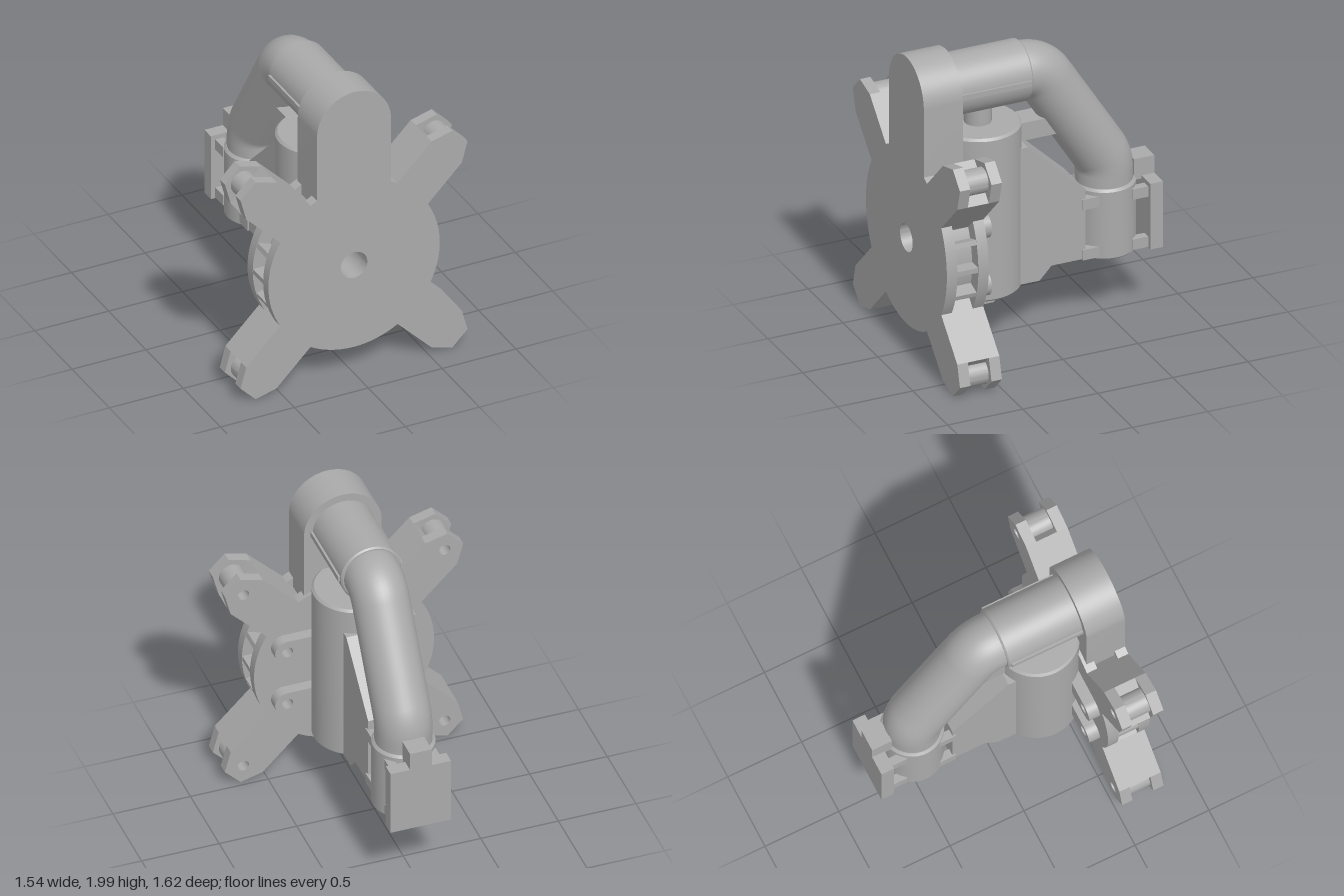
import * as THREE from 'three';
import { toCreasedNormals } from 'three/addons/utils/BufferGeometryUtils.js';

const CY = 0.775;           // height of the disc centre
const ARM_W = 0.145;        // half width of an arm
const ARM_IN = 0.887;       // where the arm tips start to taper
const PIN = 0.917;          // distance of the arm pins from the centre

export function createModel() {
  const model = new THREE.Group();
  const grey = new THREE.MeshStandardMaterial({ color: 0xaaaaaa });
  grey.name = 'grey';

  function add(name, geometry, x = 0, y = 0, z = 0) {
    const mesh = new THREE.Mesh(geometry, grey);
    mesh.name = name;
    mesh.position.set(x, y, z);
    model.add(mesh);
    return mesh;
  }
  const box = (name, x0, x1, y0, y1, z0, z1) =>
    add(name, new THREE.BoxGeometry(x1 - x0, y1 - y0, z1 - z0), (x0 + x1) / 2, (y0 + y1) / 2, (z0 + z1) / 2);
  const extrude = (shape, depth) =>
    toCreasedNormals(new THREE.ExtrudeGeometry(shape, { depth, bevelEnabled: false, curveSegments: 32 }), 0.5);
  const polygon = (pts) => new THREE.Shape(pts.map((p) => new THREE.Vector2(p[0], p[1])));
  const hole = (x, y, r) => new THREE.Path().absarc(x, y, r, 0, Math.PI * 2, true);
  const lathe = (pts) =>
    toCreasedNormals(new THREE.LatheGeometry(pts.map((p) => new THREE.Vector2(p[0], p[1])), 56), 0.5);
  // Prism from a side profile of [z, y] points, centred on x = 0
  function sideProfile(name, pts, halfWidth) {
    const mesh = add(name, extrude(polygon(pts), halfWidth * 2), halfWidth);
    mesh.rotation.y = -Math.PI / 2;
  }

  // Disc outline with four diagonal arms
  function discShape(radius, tips) {
    const pts = [];
    const half = Math.asin(ARM_W / radius);
    for (let i = 0; i < 4; i++) {
      const a = Math.PI / 4 + (i * Math.PI) / 2;
      const put = (along, across) => pts.push([
        along * Math.cos(a) - across * Math.sin(a),
        along * Math.sin(a) + across * Math.cos(a)]);
      put(ARM_IN, -ARM_W);
      if (tips) { put(1.014, -0.072); put(1.014, 0.072); }
      put(ARM_IN, ARM_W);
      const sweep = Math.PI / 2 - 2 * half;
      for (let k = 0; k <= 16; k++) {
        const b = a + half + (sweep * k) / 16;
        pts.push([radius * Math.cos(b), radius * Math.sin(b)]);
      }
    }
    const shape = polygon(pts);
    shape.holes.push(hole(0, 0, 0.09));
    return shape;
  }

  // Front plate, recessed core and back plate
  const backShape = discShape(0.58, true);
  for (let i = 0; i < 4; i++) {
    const a = Math.PI / 4 + (i * Math.PI) / 2;
    const x = PIN * Math.cos(a), y = PIN * Math.sin(a);
    backShape.holes.push(hole(x, y, 0.036));
    // Pin sleeve between the plates at each arm tip
    const ring = new THREE.Shape().absarc(0, 0, 0.08, 0, Math.PI * 2, false);
    ring.holes.push(hole(0, 0, 0.036));
    add('armPin', extrude(ring, 0.14), x, CY + y, 0.6);
  }
  add('frontPlate', extrude(discShape(0.58, true), 0.07), 0, CY, 0.74);
  add('discCore', extrude(discShape(0.49, false), 0.14), 0, CY, 0.6);
  add('backPlate', extrude(backShape, 0.07), 0, CY, 0.53);

  // Ribs dividing the rim windows on the left, right and bottom
  for (const base of [0, Math.PI, -Math.PI / 2]) {
    for (const off of [-0.31, 0, 0.31]) {
      const a = base + off;
      const rib = add('rimRib', new THREE.BoxGeometry(0.11, 0.032, 0.14),
        0.523 * Math.cos(a), CY + 0.523 * Math.sin(a), 0.67);
      rib.rotation.z = a;
    }
  }

  // Round-topped head above the disc
  const head = new THREE.Shape();
  head.moveTo(-0.25, 1.2);
  head.lineTo(0.25, 1.2);
  head.lineTo(0.25, 1.75);
  head.absarc(0, 1.75, 0.25, 0, Math.PI, false);
  head.closePath();
  add('head', extrude(head, 0.26), 0, 0, 0.55);

  // Horizontal sleeve with side ridges
  const sleeve = add('sleeve', lathe([[0, 0], [0.185, 0], [0.195, 0.01], [0.195, 0.51], [0, 0.51]]), 0, 1.755, 0.05);
  sleeve.rotation.x = Math.PI / 2;
  for (const s of [-1, 1]) {
    add('sleeveRidge', new THREE.BoxGeometry(0.04, 0.035, 0.48), s * 0.188, 1.755, 0.31);
  }

  // Bent pipe
  const V = (y, z) => new THREE.Vector3(0, y, z);
  const top = V(1.755, -0.057), low = V(1.047, -0.505);
  const dir = low.clone().sub(top).normalize();
  const p1 = V(1.755, 0.05), p2 = top.clone().addScaledVector(dir, 0.107);
  const p3 = low.clone().addScaledVector(dir, -0.07), p4 = V(0.977, -0.505);
  const path = new THREE.CurvePath();
  path.add(new THREE.LineCurve3(V(1.755, 0.1), p1));
  path.add(new THREE.QuadraticBezierCurve3(p1, top, p2));
  path.add(new THREE.LineCurve3(p2, p3));
  path.add(new THREE.QuadraticBezierCurve3(p3, low, p4));
  path.add(new THREE.LineCurve3(p4, V(0.88, -0.505)));
  add('pipe', new THREE.TubeGeometry(path, 64, 0.177, 40, false));

  // Upright body, its neck and foot
  add('body', lathe([[0, 0.365], [0.25, 0.365], [0.265, 0.38], [0.265, 1.455], [0.25, 1.47], [0, 1.47]]), 0, 0, 0.335);
  add('neck', new THREE.CylinderGeometry(0.085, 0.085, 0.16, 32), 0, 1.52, 0.335);
  sideProfile('foot', [[0.54, 0.275], [0.54, 0.4], [0.16, 0.4], [0.19, 0.365], [0.28, 0.275]], 0.11);

  // Gusset and bar behind the body
  sideProfile('gusset', [[0.3, 1.3], [0.1, 1.3], [0.07, 1.3], [-0.31, 0.935], [-0.31, 0.465],
    [-0.085, 0.465], [-0.005, 0.38], [0.3, 0.38]], 0.155);
  box('bar', -0.08, 0.08, 1.31, 1.43, -0.18, 0.12);

  // Lugs with holes, beside the body
  for (const s of [-1, 1]) {
    for (const y of [0.97, 0.58]) {
      const lug = new THREE.Shape();
      lug.moveTo(-0.25, -0.08);
      lug.lineTo(0, -0.08);
      lug.absarc(0, 0, 0.08, -Math.PI / 2, Math.PI / 2, false);
      lug.lineTo(-0.25, 0.08);
      lug.closePath();
      lug.holes.push(hole(0, 0, 0.036));
      const mesh = add('lug', extrude(lug, 0.075), s * 0.39, y, s > 0 ? 0.458 : 0.533);
      if (s < 0) mesh.rotation.y = Math.PI;
    }
  }

  // Hollow collar at the pipe's lower end
  add('collar', lathe([[0, 0.86], [0.145, 0.86], [0.145, 0.44], [0.185, 0.44], [0.195, 0.45],
    [0.195, 0.895], [0.18, 0.91], [0, 0.91]]), 0, 0, -0.505);

  // Clamp: jaws on both sides of the collar, back block and tab
  for (const s of [-1, 1]) {
    for (const y of [0.46, 0.8]) {
      const x0 = s > 0 ? 0.11 : -0.165;
      box('rearJaw', x0, x0 + 0.055, y, y + 0.07, -0.74, -0.62);
      box('frontJaw', x0, x0 + 0.055, y, y + 0.07, -0.41, -0.29);
    }
  }
  box('clampBlock', -0.195, 0.195, 0.455, 0.9, -0.81, -0.725);
  box('clampTab', -0.07, 0.07, 0.88, 1.02, -0.81, -0.675);

  return model;
}
